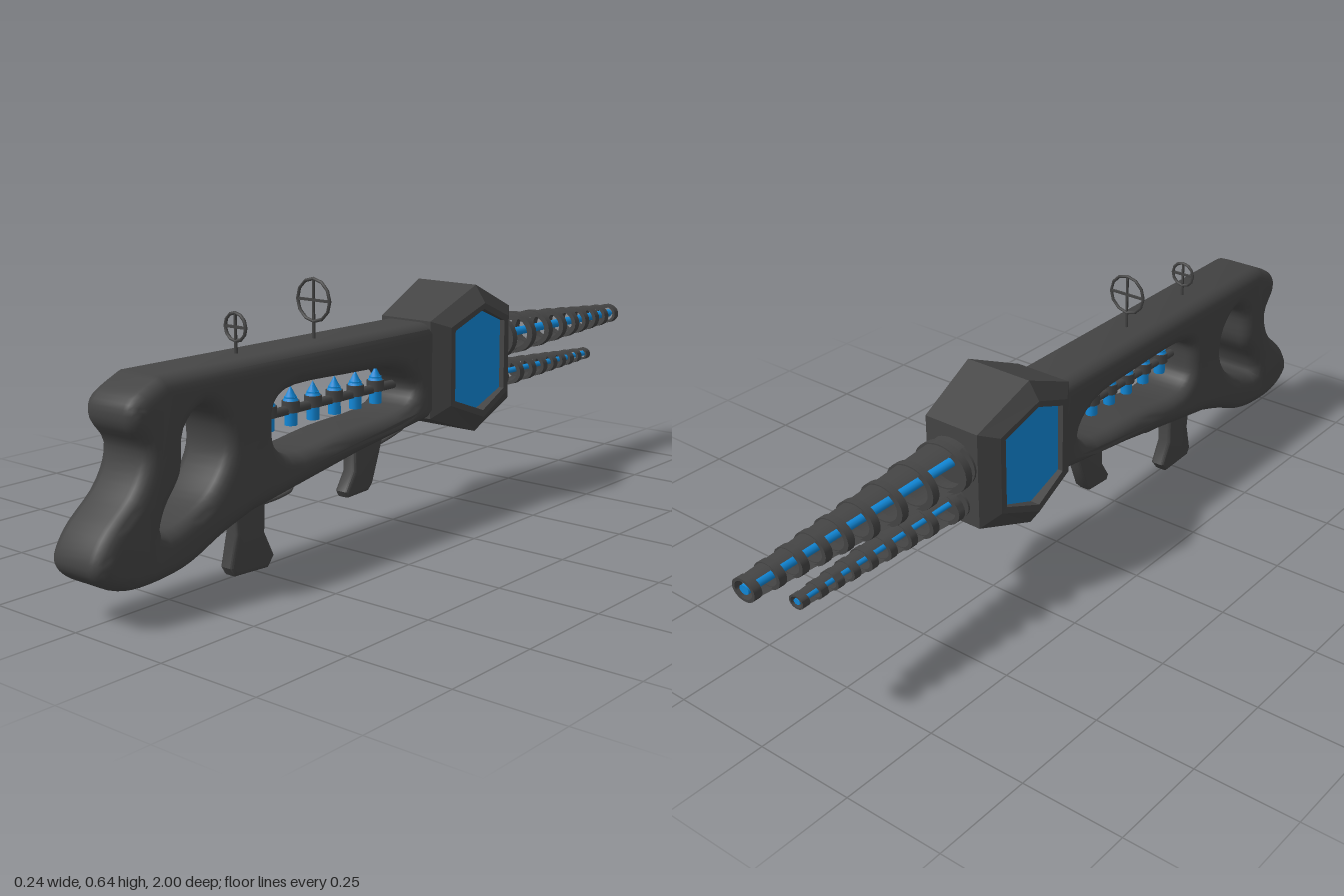
import * as THREE from 'three';
import { toCreasedNormals } from 'three/addons/utils/BufferGeometryUtils.js';

const dark = new THREE.MeshStandardMaterial({ color: 0x444444 });
const darkFlat = new THREE.MeshStandardMaterial({ color: 0x444444, flatShading: true });
const darkThin = new THREE.MeshStandardMaterial({ color: 0x444444, side: THREE.DoubleSide });
const blue = new THREE.MeshStandardMaterial({ color: 0x1188d8 });

const pts = (a) => a.map(([z, y]) => new THREE.Vector2(z, y));

function add(parent, name, geometry, material, x = 0, y = 0, z = 0) {
  const mesh = new THREE.Mesh(geometry, material);
  mesh.name = name;
  mesh.position.set(x, y, z);
  parent.add(mesh);
  return mesh;
}

// Side profile drawn in (z, y), given a width across x and rounded edges
function plate(shape, width, bevel = 0, segments = 4) {
  const depth = width - 2 * bevel;
  const g = new THREE.ExtrudeGeometry(shape, {
    depth, curveSegments: 4, bevelEnabled: bevel > 0, bevelThickness: bevel,
    bevelSize: bevel, bevelOffset: -bevel, bevelSegments: segments,
  });
  g.translate(0, 0, -depth / 2).rotateY(-Math.PI / 2);
  return toCreasedNormals(g, 0.75);
}

// Smooth closed loop through a few points
function loop(a) {
  const c = new THREE.CatmullRomCurve3(a.map(([z, y]) => new THREE.Vector3(z, y, 0)), true);
  return c.getPoints(a.length * 4).slice(0, -1).map((p) => new THREE.Vector2(p.x, p.y));
}

function rod(r, length, sides = 12) {
  return new THREE.CylinderGeometry(r, r, length, sides).rotateX(Math.PI / 2);
}

// Stock and forearm in one piece, with a thumb opening and a long side window
function buildBody(root) {
  const s = new THREE.Shape();
  s.moveTo(-0.08, 0.26);
  s.lineTo(0.2, 0.222);
  s.lineTo(0.56, 0.16);
  s.splineThru(pts([[0.65, 0.13], [0.76, 0.085], [0.88, 0.072], [0.96, 0.09], [1.0, 0.135],
    [0.97, 0.2], [0.89, 0.275], [0.86, 0.35], [0.895, 0.41], [0.885, 0.46], [0.81, 0.5]]));
  s.lineTo(-0.08, 0.495);
  s.holes.push(new THREE.Path(loop([[0.75, 0.38], [0.70, 0.42], [0.645, 0.38], [0.633, 0.31],
    [0.68, 0.235], [0.75, 0.195], [0.82, 0.178], [0.81, 0.22], [0.763, 0.29]])));
  s.holes.push(new THREE.Path(loop([[0.485, 0.385], [0.45, 0.41], [0.25, 0.413], [0.05, 0.393],
    [0, 0.34], [0.03, 0.302], [0.25, 0.28], [0.44, 0.265], [0.485, 0.295], [0.492, 0.34]])));
  add(root, 'stockAndForearm', plate(s, 0.16, 0.034, 5), dark);
}

// Rail and charge cells inside the side window
function buildCells(root) {
  const cells = new THREE.Group();
  cells.name = 'chargeCells';
  root.add(cells);
  add(cells, 'cellRail', rod(0.011, 0.54), dark, 0, 0.345, 0.24);
  for (let i = 0; i < 6; i++) {
    const z = 0.44 - i * 0.0745;
    add(cells, 'cell', new THREE.CylinderGeometry(0.015, 0.015, 0.066, 12), blue, 0, 0.342, z);
    add(cells, 'cellCollar', new THREE.CylinderGeometry(0.021, 0.021, 0.026, 12), dark, 0, 0.353, z);
    add(cells, 'cellTip', new THREE.ConeGeometry(0.018, 0.034, 12), blue, 0, 0.383, z);
  }
}

// Six-sided housing lofted across x: outer wall, raised rim, recessed panel edge
function buildHousing(root) {
  const zc = -0.215;
  const hex = (h, hi, lo, top, bottom) =>
    [[zc, top], [zc + h, hi], [zc + h, lo], [zc, bottom], [zc - h, lo], [zc - h, hi]];
  const outer = hex(0.165, 0.5, 0.258, 0.573, 0.2);
  const rim = hex(0.12, 0.482, 0.288, 0.53, 0.241);
  const inner = hex(0.103, 0.472, 0.297, 0.515, 0.258);
  // [outline, x at the sides, x at the peaks]
  const half = [[inner, 0.088, 0.088], [inner, 0.106, 0.117], [rim, 0.106, 0.119], [outer, 0.076, 0.09]];
  const rings = [...half.map(([o, a, b]) => [o, -a, -b]), ...half.slice().reverse()];
  const pos = [], idx = [];
  rings.forEach(([o, side, peak]) =>
    o.forEach(([z, y], j) => pos.push(j % 3 ? side : peak, y, z)));
  for (let i = 0; i < rings.length - 1; i++) {
    for (let j = 0; j < 6; j++) {
      const a = i * 6 + j, b = i * 6 + (j + 1) % 6;
      idx.push(a, b, a + 6, b, b + 6, a + 6);
    }
  }
  const g = new THREE.BufferGeometry();
  g.setAttribute('position', new THREE.Float32BufferAttribute(pos, 3));
  g.setIndex(idx);
  g.computeVertexNormals();
  add(root, 'housing', g, darkFlat);
  add(root, 'sidePanels', plate(new THREE.Shape(pts(inner)), 0.184), blue);
}

// Tapered cage: hoops joined by a top and a bottom rail around a glowing rod
function buildBarrel(root, name, hoops, y0, y1, r0, r1, wide) {
  const barrel = new THREE.Group();
  barrel.name = name;
  root.add(barrel);
  const zStart = -0.37, zEnd = hoops[hoops.length - 1] - 0.01;
  const length = zStart - zEnd;
  const radius = (z) => THREE.MathUtils.lerp(r0, r1, (zStart - z) / length);
  barrel.position.set(0, y0, zStart);
  barrel.rotation.x = -Math.atan2(y1 - y0, -length) + Math.PI;
  barrel.rotation.x = Math.atan2(y1 - y0, length);
  barrel.scale.x = wide;
  for (const z of hoops) {
    const r = radius(z), w = r * 0.24, t = 0.01;
    const ring = new THREE.LatheGeometry(
      pts([[r - w, -t], [r, -t], [r, t], [r - w, t], [r - w, -t]]), 24);
    add(barrel, 'hoop', toCreasedNormals(ring.rotateX(Math.PI / 2), 0.6), darkThin, 0, 0, z - zStart);
  }
  for (const side of [0, Math.PI]) {
    for (const k of [0.95, 0.82]) {
      const arc = new THREE.CylinderGeometry(r0 * k, r1 * k, length, 8, 1, true, side - 0.55, 1.1);
      add(barrel, 'rail', arc.rotateX(Math.PI / 2), darkThin, 0, 0, -length / 2);
    }
  }
  add(barrel, 'energyRod', rod(r0 * 0.17, length - 0.004), blue, 0, 0, -length / 2);
  add(barrel, 'barrelBase', rod(r0 * 0.9, 0.02, 24), dark, 0, 0, -0.005);
}

function buildGrip(root, name, outline, guard, trigger) {
  const g = new THREE.Group();
  g.name = name;
  root.add(g);
  add(g, 'handle', plate(new THREE.Shape(pts(outline)), 0.04, 0.008, 3), dark);
  const path = (a) => new THREE.CatmullRomCurve3(
    a.map(([z, y]) => new THREE.Vector3(0, y, z)), false, 'catmullrom', 0.2);
  add(g, 'triggerGuard', new THREE.TubeGeometry(path(guard), 16, 0.005, 6), dark).scale.x = 2;
  add(g, 'trigger', new THREE.TubeGeometry(path(trigger), 8, 0.005, 6), dark);
}

// Ring sight with cross hairs on a short post
function buildSight(root, name, r, y, z) {
  const s = new THREE.Group();
  s.name = name;
  s.position.set(0, y, z);
  root.add(s);
  const t = 0.004;
  add(s, 'sightRing', new THREE.TorusGeometry(r - t, t, 6, 12), dark);
  add(s, 'crossBar', new THREE.BoxGeometry(2 * r - t, 0.006, 0.005), dark);
  add(s, 'crossPost', new THREE.BoxGeometry(0.005, 2 * r - t, 0.005), dark);
  const h = y - r - 0.485;
  add(s, 'post', new THREE.CylinderGeometry(t, t, h, 8), dark, 0, -r - h / 2 + t, 0);
}

export function createModel() {
  const root = new THREE.Group();
  root.name = 'energyRifle';
  buildBody(root);
  buildCells(root);
  buildHousing(root);
  buildBarrel(root, 'upperBarrel',
    [-0.41, -0.51, -0.6, -0.68, -0.75, -0.81, -0.87, -0.928, -0.99], 0.408, 0.396, 0.064, 0.026, 1.25);
  buildBarrel(root, 'lowerBarrel',
    [-0.41, -0.49, -0.555, -0.615, -0.67, -0.72, -0.765, -0.81, -0.86], 0.304, 0.295, 0.042, 0.016, 1.3);
  buildGrip(root, 'rearGrip',
    [[0.57, 0.19], [0.562, 0.1], [0.58, 0.025], [0.568, 0.005], [0.465, 0], [0.445, 0.025],
      [0.474, 0.085], [0.47, 0.2]],
    [[0.48, 0.148], [0.42, 0.15], [0.375, 0.157], [0.368, 0.175], [0.367, 0.2]],
    [[0.445, 0.19], [0.44, 0.172], [0.453, 0.158]]);
  buildGrip(root, 'frontGrip',
    [[0.165, 0.25], [0.168, 0.16], [0.196, 0.115], [0.188, 0.1], [0.115, 0.103], [0.1, 0.118],
      [0.075, 0.185], [0.05, 0.26]],
    [[0.08, 0.203], [0.02, 0.215], [-0.03, 0.228], [-0.038, 0.24], [-0.038, 0.265]],
    [[0.035, 0.25], [0.03, 0.235], [0.045, 0.222]]);
  buildSight(root, 'rearSight', 0.035, 0.556, 0.535);
  buildSight(root, 'frontSight', 0.053, 0.585, 0.285);
  return root;
}
